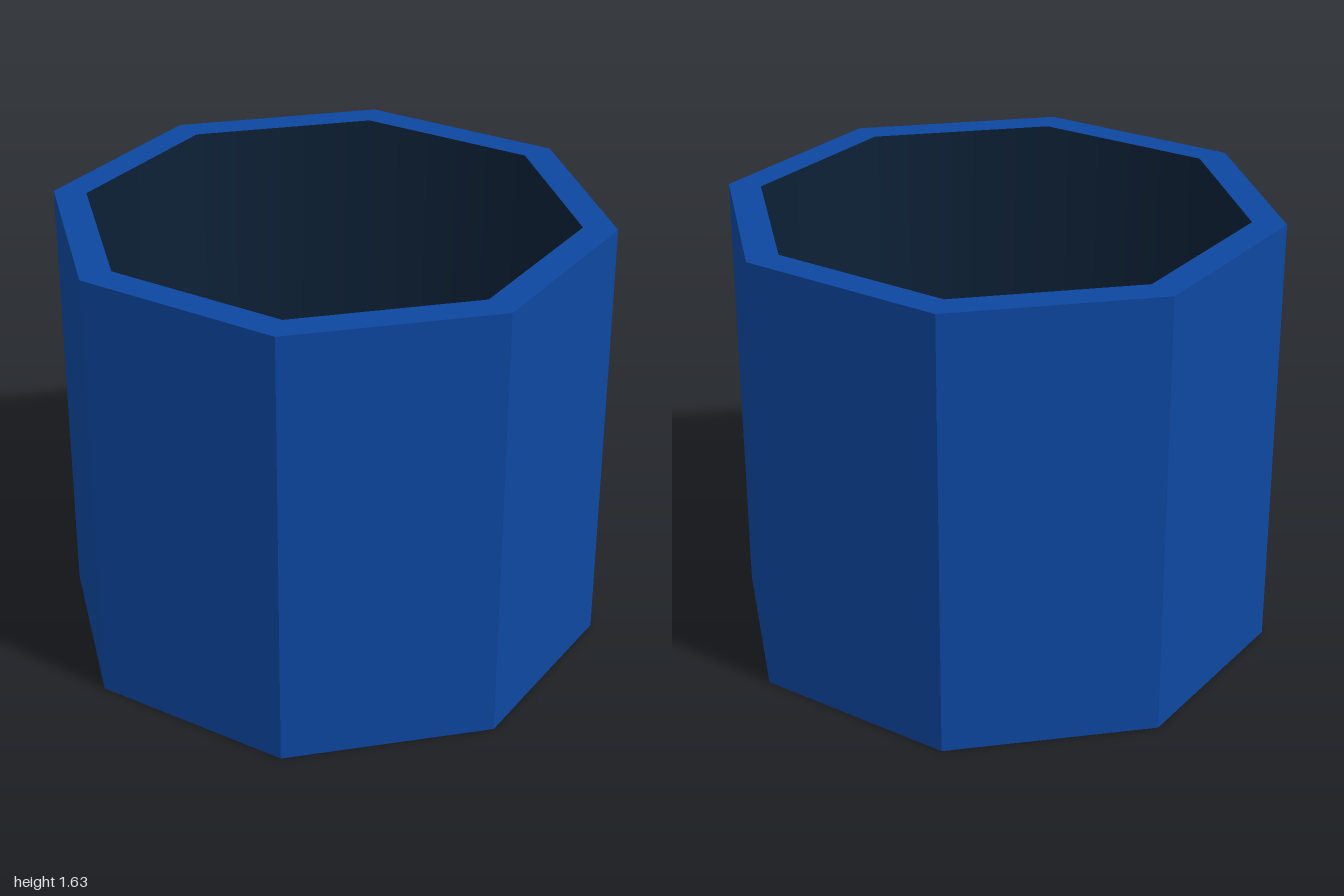
import * as THREE from 'three';

const SIDES = 8, HEIGHT = 1.63, OUTER = 1, INNER = 0.88, FLOOR = 0.12;

export function createModel() {
  const group = new THREE.Group();
  group.name = 'octagonalPot';

  const shell = new THREE.MeshStandardMaterial({ color: 0x0d47a1, flatShading: true });
  const lining = new THREE.MeshStandardMaterial({ color: 0x0d2137, side: THREE.BackSide });
  const base = new THREE.MeshStandardMaterial({ color: 0x0d2137 });

  const add = (name, geometry, material, y) => {
    const mesh = new THREE.Mesh(geometry, material);
    mesh.name = name;
    mesh.position.y = y;
    group.add(mesh);
  };
  // flat part facing up (dir = -1) or down (dir = 1)
  const flat = (geometry, dir) => geometry.rotateX(dir * Math.PI / 2);

  // outer faceted wall, flat rim and underside
  add('outerWall', new THREE.CylinderGeometry(OUTER, OUTER, HEIGHT, SIDES, 1, true), shell, HEIGHT / 2);
  add('rim', flat(new THREE.RingGeometry(INNER, OUTER, SIDES), -1), shell, HEIGHT);
  add('underside', flat(new THREE.CircleGeometry(OUTER, SIDES), 1), shell, 0);

  // dark hollow: smooth-shaded inner wall seen from within, and its floor
  const depth = HEIGHT - FLOOR;
  add('innerWall', new THREE.CylinderGeometry(INNER, INNER, depth, SIDES, 1, true), lining, FLOOR + depth / 2);
  add('innerFloor', flat(new THREE.CircleGeometry(INNER, SIDES), -1), base, FLOOR);

  return group;
}
